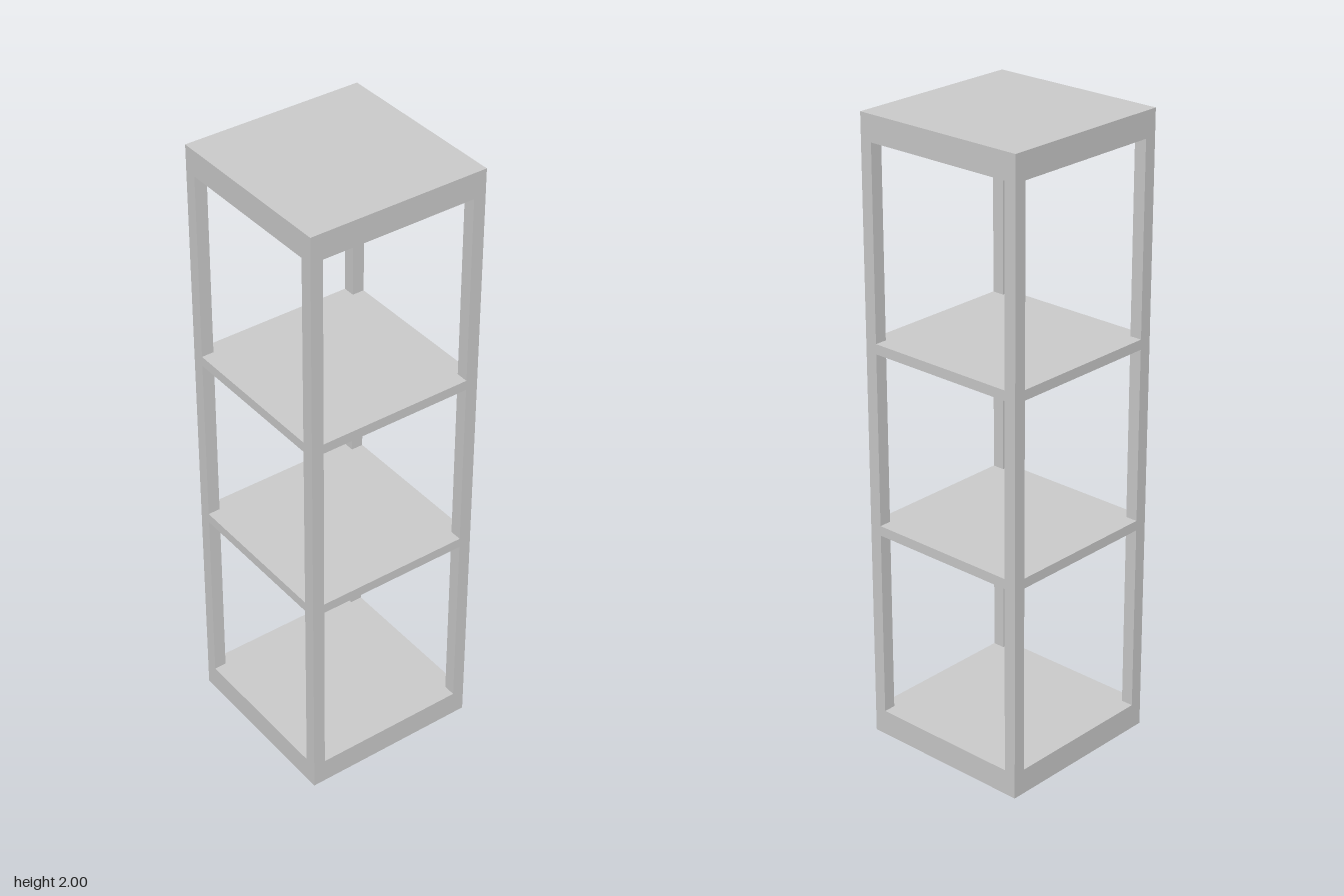
import * as THREE from 'three';

const HALF = 0.292;  // half the width and depth
const POST = 0.04;   // side of a square post
const SLAB = 0.082;  // thickness of base and top
const HEIGHT = 2;

const material = new THREE.MeshStandardMaterial({ color: 0xcccccc, flatShading: true });

function addPart(group, name, geometry, x, y, z) {
  const mesh = new THREE.Mesh(geometry, material);
  mesh.name = name;
  mesh.position.set(x, y, z);
  group.add(mesh);
}

// Square board with its corners cut out to fit around the posts
function notchedBoard(thickness) {
  const inner = HALF - POST;
  const points = [];
  for (const [sx, sy] of [[1, 1], [-1, 1], [-1, -1], [1, -1]]) {
    const corner = [[HALF, inner], [inner, inner], [inner, HALF]];
    if (sx * sy < 0) corner.reverse();
    for (const [x, y] of corner) points.push(new THREE.Vector2(sx * x, sy * y));
  }
  const geometry = new THREE.ExtrudeGeometry(new THREE.Shape(points), { depth: thickness, bevelEnabled: false });
  return geometry.rotateX(-Math.PI / 2);
}

export function createModel() {
  const group = new THREE.Group();
  group.name = 'shelfTower';

  // Thick base and top slabs
  const slab = new THREE.BoxGeometry(HALF * 2, SLAB, HALF * 2);
  addPart(group, 'base', slab, 0, SLAB / 2, 0);
  addPart(group, 'top', slab, 0, HEIGHT - SLAB / 2, 0);

  // Four corner posts between the slabs
  const post = new THREE.BoxGeometry(POST, HEIGHT - 2 * SLAB, POST);
  const offset = HALF - POST / 2;
  for (const [xName, sx] of [['Left', 1], ['Right', -1]]) {
    for (const [zName, sz] of [['front', 1], ['back', -1]]) {
      addPart(group, `${zName}${xName}Post`, post, sx * offset, HEIGHT / 2, sz * offset);
    }
  }

  // Two thin shelves, flush with the outside of the posts
  const shelf = notchedBoard(0.032);
  addPart(group, 'lowerShelf', shelf, 0, 0.692, 0);
  addPart(group, 'upperShelf', shelf, 0, 1.28, 0);

  return group;
}
